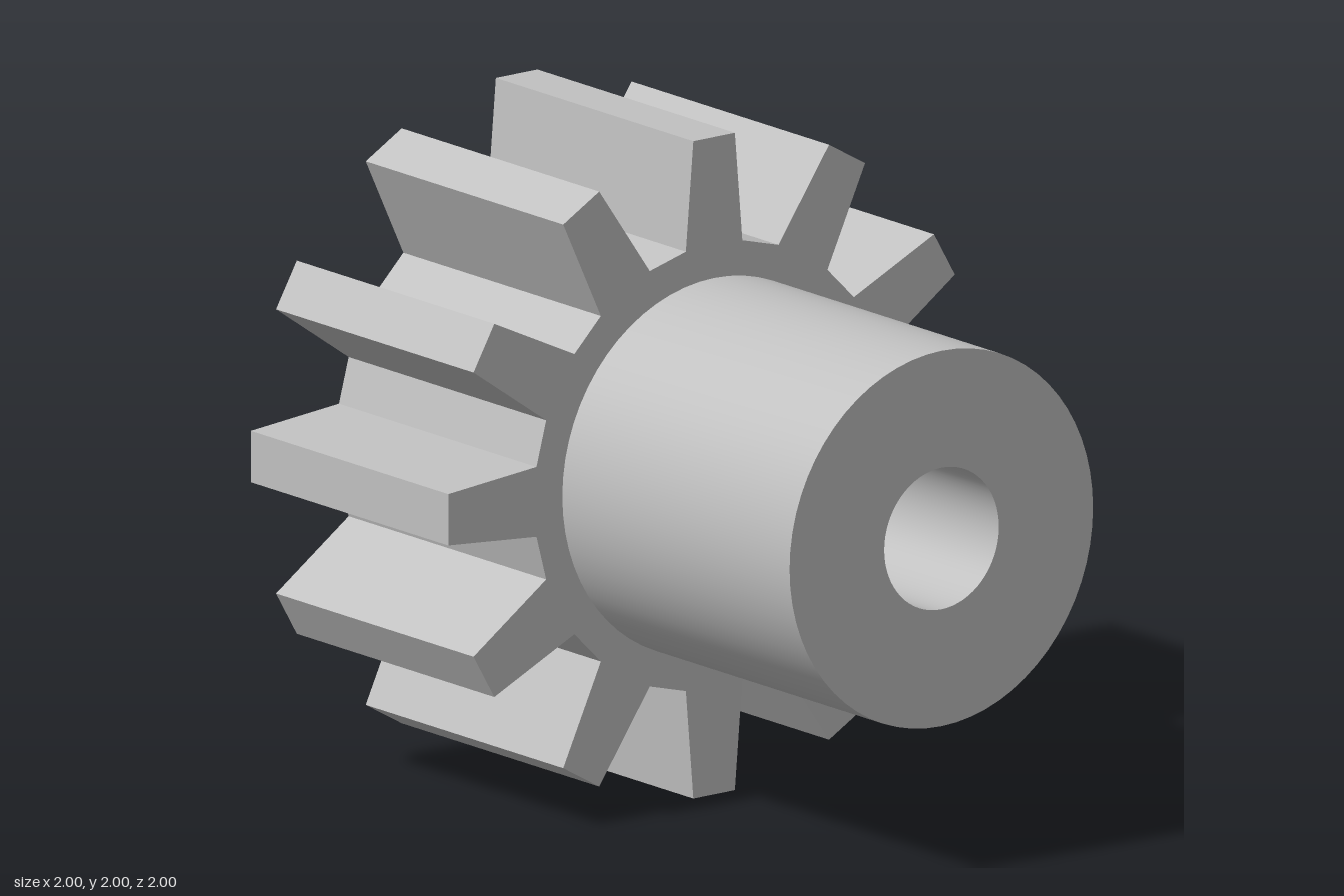
import * as THREE from 'three';
import { toCreasedNormals } from 'three/addons/utils/BufferGeometryUtils.js';

const TEETH = 12;
const BORE = 0.215;
const HUB = 0.57;
const GEAR_FRONT = -0.07;

// Gear outline: four corners per tooth, starting from the top tooth
function gearShape() {
  const tooth = [[0.106, 0.667], [0.078, 0.998], [-0.078, 0.998], [-0.106, 0.667]];
  const points = [];
  for (let i = 0; i < TEETH; i++) {
    const angle = (i / TEETH) * Math.PI * 2;
    for (const [x, y] of tooth) {
      points.push(new THREE.Vector2(x, y).rotateAround(new THREE.Vector2(), angle));
    }
  }
  const shape = new THREE.Shape(points);
  shape.holes.push(new THREE.Path().absarc(0, 0, BORE, 0, Math.PI * 2, true));
  return shape;
}

export function createModel() {
  const steel = new THREE.MeshStandardMaterial({ color: 0xc0c0c0 });
  steel.name = 'steel grey';

  const group = new THREE.Group();
  group.name = 'pinionGear';

  // Toothed wheel with a smooth bore
  const wheelGeometry = new THREE.ExtrudeGeometry(gearShape(), {
    depth: 1 + GEAR_FRONT, bevelEnabled: false, curveSegments: 64,
  });
  wheelGeometry.translate(0, 1, -1);
  const wheel = new THREE.Mesh(toCreasedNormals(wheelGeometry, 0.4), steel);
  wheel.name = 'toothedWheel';
  group.add(wheel);

  // Hub: outer wall, front ring and bore wall
  const profile = [[HUB, GEAR_FRONT], [HUB, 1], [BORE, 1], [BORE, GEAR_FRONT]]
    .map(([r, z]) => new THREE.Vector2(r, z));
  const hubGeometry = new THREE.LatheGeometry(profile, 64);
  hubGeometry.rotateX(Math.PI / 2);
  hubGeometry.translate(0, 1, 0);
  const hub = new THREE.Mesh(toCreasedNormals(hubGeometry, 0.4), steel);
  hub.name = 'hub';
  group.add(hub);

  return group;
}
